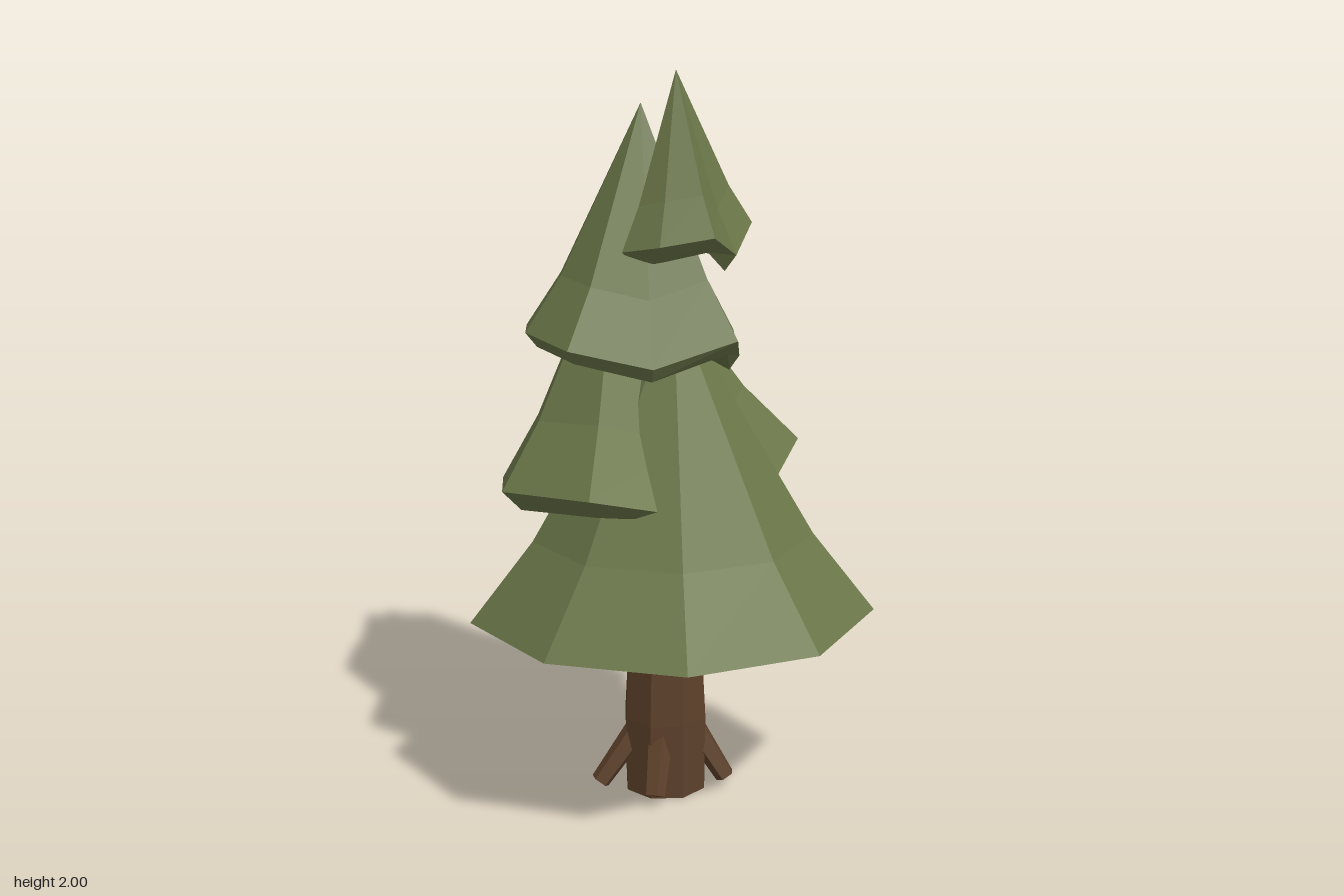
import * as THREE from 'three';

const foliage = new THREE.MeshStandardMaterial({ color: 0x6b7749 });
foliage.name = 'pine green';
const bark = new THREE.MeshStandardMaterial({ color: 0x5d412b });
bark.name = 'bark brown';

// Flat-shaded skin over a list of rings (top to bottom) of equal length
function loft(rings) {
  const pos = [];
  const n = rings[0].length;
  const tri = (a, b, c) => {
    const area = b.clone().sub(a).cross(c.clone().sub(a)).length();
    if (area > 1e-8) for (const p of [a, b, c]) pos.push(p.x, p.y, p.z);
  };
  for (let r = 0; r + 1 < rings.length; r++) {
    for (let i = 0; i < n; i++) {
      const j = (i + 1) % n, u = rings[r], l = rings[r + 1];
      tri(u[i], u[j], l[j]);
      tri(u[i], l[j], l[i]);
    }
  }
  const g = new THREE.BufferGeometry();
  g.setAttribute('position', new THREE.Float32BufferAttribute(pos, 3));
  g.computeVertexNormals();
  return g;
}

// One skirt of branches: tip, flared side, uneven rim, turned-under edge, hollow base
function tier({ name, apex, rim, inset, hollow, lowerY }) {
  const tip = new THREE.Vector3(...apex);
  const edge = rim.map(p => new THREE.Vector3(...p));
  const centre = edge.reduce((s, p) => s.add(p), new THREE.Vector3()).divideScalar(edge.length);
  const mid = edge.map(p => new THREE.Vector3(
    tip.x + (p.x - tip.x) * 0.69,
    p.y + (tip.y - p.y) * 0.25,
    tip.z + (p.z - tip.z) * 0.69));
  const lower = edge.map(p => new THREE.Vector3(
    centre.x + (p.x - centre.x) * inset,
    lowerY(p),
    centre.z + (p.z - centre.z) * inset));
  const base = new THREE.Vector3(centre.x, hollow, centre.z);
  const mesh = new THREE.Mesh(loft([edge.map(() => tip), mid, edge, lower, edge.map(() => base)]), foliage);
  mesh.name = name;
  return mesh;
}

// Rims run from the left side (+x) towards the front (+z)
const TIERS = [
  {
    name: 'bottomBranches', apex: [0, 1.42, 0], inset: 0.82, hollow: 0.49,
    lowerY: p => Math.max(0.42, p.y - 0.06 + 0.06 * p.z),
    rim: [[0.545, 0.55, 0.045], [0.36, 0.55, 0.38], [0.01, 0.565, 0.545], [-0.35, 0.555, 0.41],
      [-0.55, 0.545, 0.085], [-0.4, 0.455, -0.23], [-0.225, 0.55, -0.55], [0.12, 0.455, -0.445], [0.36, 0.45, -0.27]],
  },
  {
    name: 'lowerMiddleBranches', apex: [-0.14, 1.6, -0.13], inset: 0.87, hollow: 0.98,
    lowerY: p => Math.max(0.845, p.y - 0.06),
    rim: [[0.25, 0.9, 0.08], [0.12, 0.86, 0.2], [-0.23, 0.965, 0.35], [-0.455, 0.93, 0.14],
      [-0.46, 0.885, -0.14], [-0.35, 0.9, -0.37], [-0.11, 0.88, -0.455], [0.17, 0.935, -0.43], [0.355, 0.97, -0.19]],
  },
  {
    name: 'upperMiddleBranches', apex: [-0.08, 1.91, -0.11], inset: 0.9, hollow: 1.33,
    lowerY: p => p.y - 0.04,
    rim: [[0.18, 1.24, -0.06], [0.16, 1.33, 0.15], [-0.06, 1.265, 0.185], [-0.28, 1.31, 0.16],
      [-0.39, 1.315, -0.035], [-0.39, 1.285, -0.26], [-0.2, 1.27, -0.39], [0, 1.26, -0.38], [0.18, 1.26, -0.28]],
  },
  {
    name: 'topBranches', apex: [0.01, 2, -0.065], inset: 0.78, hollow: 1.62,
    lowerY: p => p.y - 0.045,
    rim: [[0.215, 1.59, -0.12], [0.165, 1.525, 0], [0.1, 1.595, 0.13], [-0.04, 1.57, 0.12], [-0.135, 1.545, 0.05],
      [-0.07, 1.58, -0.08], [-0.06, 1.6, -0.23], [0, 1.62, -0.295], [0.12, 1.54, -0.2]],
  },
];

function ring(x, y, z, r, n) {
  return Array.from({ length: n }, (_, i) => {
    const a = (i + 0.5) / n * Math.PI * 2;
    return new THREE.Vector3(x + r * Math.cos(a), y, z + r * Math.sin(a));
  });
}

// Tapered root from the trunk down to its splayed toe
function root(from, to) {
  const a = new THREE.Vector3(...from), b = new THREE.Vector3(...to);
  const g = new THREE.CylinderGeometry(0.028, 0.036, a.distanceTo(b), 5).toNonIndexed();
  g.computeVertexNormals();
  const mesh = new THREE.Mesh(g, bark);
  mesh.position.copy(a).lerp(b, 0.5);
  mesh.quaternion.setFromUnitVectors(new THREE.Vector3(0, 1, 0), b.sub(a).normalize());
  mesh.name = 'root';
  return mesh;
}

export function createModel() {
  const tree = new THREE.Group();
  tree.name = 'pineTree';

  const cx = -0.02, cz = -0.05;
  const trunk = new THREE.Mesh(loft([
    ring(cx, 0.56, cz, 0.1, 8),
    ring(cx, 0.22, cz, 0.119, 8),
    ring(cx, 0.005, cz, 0.116, 8),
    ring(cx, 0.005, cz, 0, 8),
  ]), bark);
  trunk.name = 'trunk';
  tree.add(trunk);

  // Roots around the foot: angle in degrees from +x towards +z, and reach
  const roots = new THREE.Group();
  roots.name = 'roots';
  for (const [deg, reach] of [[10, 0.17], [103, 0.16], [165, 0.19], [215, 0.17], [270, 0.14], [318, 0.16]]) {
    const a = deg * Math.PI / 180, c = Math.cos(a), s = Math.sin(a);
    roots.add(root([cx + 0.08 * c, 0.18, cz + 0.08 * s], [cx + reach * c, 0.035, cz + reach * s]));
  }
  tree.add(roots);

  for (const t of TIERS) tree.add(tier(t));
  return tree;
}
